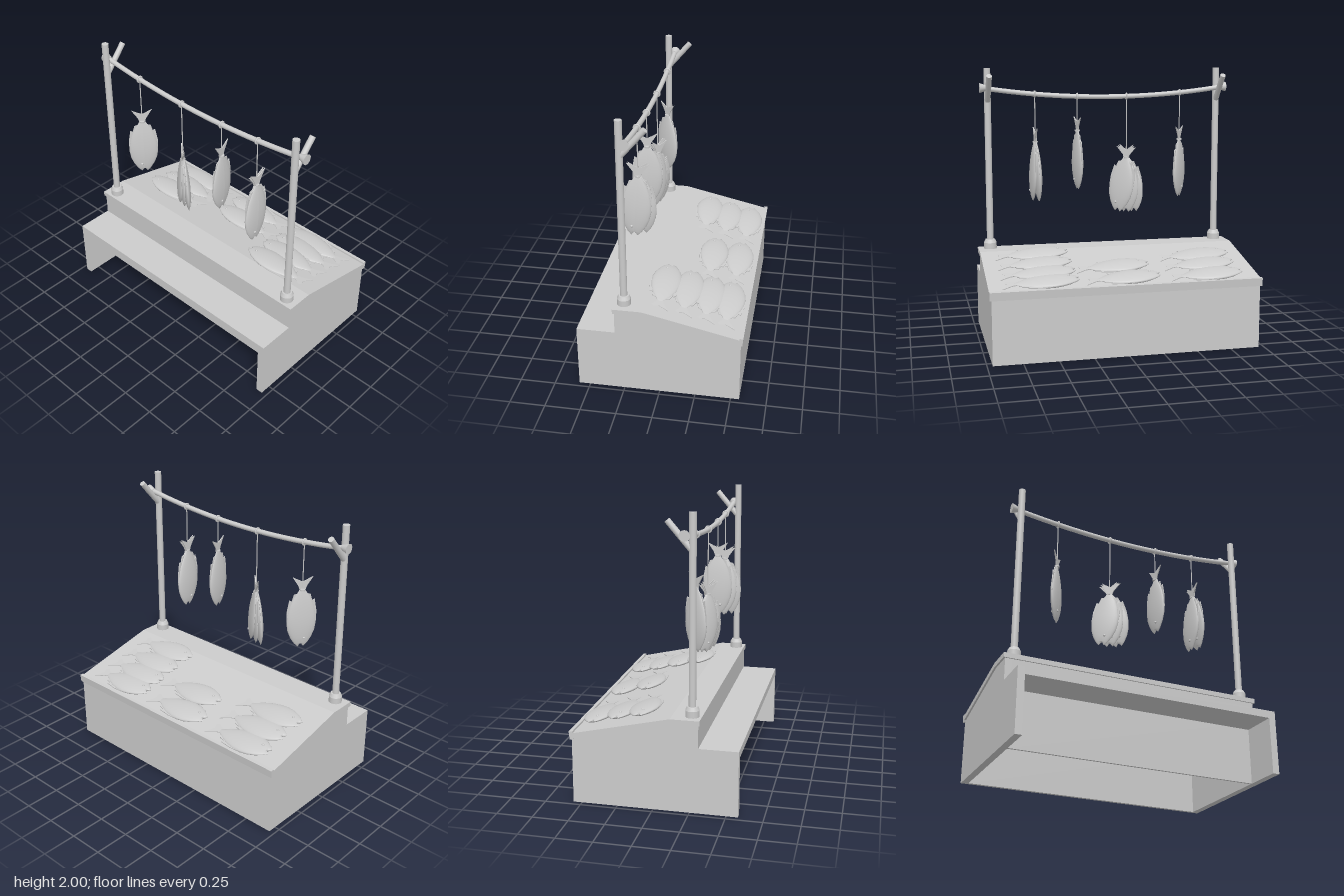
import * as THREE from 'three';

const mat = new THREE.MeshStandardMaterial({ color: 0xcccccc });

function add(parent, name, geo, x = 0, y = 0, z = 0) {
  const m = new THREE.Mesh(geo, mat);
  m.name = name;
  m.position.set(x, y, z);
  parent.add(m);
  return m;
}

// Box given by its limits on each axis
function box(parent, name, x0, x1, y0, y1, z0, z1) {
  return add(parent, name, new THREE.BoxGeometry(x1 - x0, y1 - y0, z1 - z0),
    (x0 + x1) / 2, (y0 + y1) / 2, (z0 + z1) / 2);
}

// Outline in x/y, extruded along z and centred on z = 0
function slab(points, depth) {
  const shape = new THREE.Shape(points.map(p => new THREE.Vector2(p[0], p[1])));
  return new THREE.ExtrudeGeometry(shape, { depth, bevelEnabled: false }).translate(0, 0, -depth / 2);
}

// Flat fish body: squashed lathe with a notch for the mouth (head at y = 0)
function bodyGeometry() {
  const profile = [[0, 0], [0.022, 0], [0.05, 0.03], [0.078, 0.075], [0.099, 0.13], [0.108, 0.19],
    [0.104, 0.25], [0.088, 0.32], [0.06, 0.385], [0.03, 0.43], [0.018, 0.455], [0, 0.46]];
  const geo = new THREE.LatheGeometry(profile.map(p => new THREE.Vector2(p[0], p[1])), 24);
  const pos = geo.attributes.position;
  for (let i = 0; i < pos.count; i++) {
    if (pos.getY(i) < 0.02) pos.setY(i, 0.032 * Math.max(0, 1 - Math.abs(pos.getX(i)) / 0.022));
  }
  geo.scale(1, 1, 0.26);
  geo.computeVertexNormals();
  return geo;
}

const fishBody = bodyGeometry();
const fishTail = slab([[-0.016, 0.43], [0.016, 0.43], [0.03, 0.475], [0.075, 0.545],
  [0.03, 0.522], [0, 0.508], [-0.03, 0.522], [-0.075, 0.545], [-0.03, 0.475]], 0.007);
const fishFin = slab([[0.08, 0.17], [0.108, 0.2], [0.108, 0.28], [0.092, 0.37], [0.075, 0.36],
  [0.06, 0.41], [0.02, 0.42]], 0.006);
const fishEye = new THREE.SphereGeometry(0.01, 10, 8);

function makeFish() {
  const g = new THREE.Group();
  g.name = 'fish';
  add(g, 'fishBody', fishBody);
  add(g, 'fishTail', fishTail);
  add(g, 'topFin', fishFin);
  add(g, 'bottomFin', fishFin).rotation.y = Math.PI;
  for (const s of [-1, 1]) add(g, 'fishEye', fishEye, -0.02, 0.075, s * 0.018);
  return g;
}

export function createModel() {
  const model = new THREE.Group();
  model.name = 'fishStall';

  // Hollow counter with a step along the back
  const side = [[-0.58, 0], [0.56, 0], [0.56, 0.475], [-0.12, 0.63], [-0.31, 0.63], [-0.31, 0.46], [-0.58, 0.46]];
  const sideGeo = slab(side, 0.05);
  for (const s of [-1, 1]) add(model, 'endWall', sideGeo, 0, 0, s * 0.937);
  box(model, 'frontWall', 0.535, 0.56, 0, 0.475, -0.92, 0.92);
  box(model, 'backWall', -0.31, -0.295, 0, 0.46, -0.92, 0.92);
  box(model, 'riser', -0.31, -0.285, 0.44, 0.63, -0.92, 0.92);
  box(model, 'stepTop', -0.58, -0.3, 0.405, 0.46, -0.92, 0.92);

  // Sloping display board with a front lip
  add(model, 'displayBoard', slab([[-0.32, 0.62], [-0.12, 0.62], [0.555, 0.465], [0.555, 0.503],
    [-0.12, 0.655], [-0.32, 0.655]], 1.95));
  const lip = box(model, 'frontLip', 0.547, 0.573, 0.457, 0.516, -0.975, 0.975);
  lip.rotation.z = -0.1;

  // Posts with collars and forked props
  const postGeo = new THREE.CylinderGeometry(0.025, 0.025, 1.385, 16);
  const collarGeo = new THREE.LatheGeometry([[0.048, 0], [0.048, 0.045], [0.048, 0.045], [0.036, 0.07],
    [0.036, 0.07], [0.02, 0.07]].map(p => new THREE.Vector2(p[0], p[1])), 16);
  const propGeo = new THREE.CylinderGeometry(0.021, 0.021, 0.25, 14);
  for (const z of [-0.885, 0.885]) {
    add(model, 'post', postGeo, -0.255, 1.3075, z);
    add(model, 'postCollar', collarGeo, -0.255, 0.655, z);
    add(model, 'forkProp', propGeo, -0.17, 1.85, z).rotation.z = -0.71;
  }

  // Sagging crossbar with flared ends
  const barX = -0.213;
  const barY = z => 1.785 + 0.07 * (z / 0.92) ** 2;
  const curve = new THREE.QuadraticBezierCurve3(new THREE.Vector3(barX, 1.855, 0.92),
    new THREE.Vector3(barX, 1.715, 0), new THREE.Vector3(barX, 1.855, -0.92));
  add(model, 'crossbar', new THREE.TubeGeometry(curve, 28, 0.018, 12));
  const flareGeo = new THREE.CylinderGeometry(0.037, 0.018, 0.055, 14).rotateX(Math.PI / 2);
  for (const s of [-1, 1]) {
    add(model, 'barEnd', flareGeo, barX, 1.856, s * 0.918).rotation.y = s > 0 ? 0 : Math.PI;
  }

  // Hanging fish: z, tie height, turn, scale, [swing, offset] of each fish
  const hanging = [
    [0.54, 1.455, 0.03, 1, [[-0.07, 0.022], [0.06, -0.022]]],
    [0.22, 1.535, 0.15, 1, [[0, 0]]],
    [-0.16, 1.32, 0.87, 0.94, [[-0.15, 0.035], [0, 0], [0.13, -0.035]]],
    [-0.58, 1.455, -0.66, 1, [[0, 0]]],
  ];
  const loopGeo = new THREE.TorusGeometry(0.021, 0.007, 8, 16);
  const tieGeo = new THREE.CylinderGeometry(0.02, 0.02, 0.012, 10);
  for (const [z, tieY, turn, scale, fishes] of hanging) {
    const top = barY(z);
    add(model, 'hangingLoop', loopGeo, barX, top, z);
    const len = top - 0.02 - tieY;
    add(model, 'string', new THREE.CylinderGeometry(0.004, 0.004, len, 6), barX, tieY + len / 2, z);
    const bundle = new THREE.Group();
    bundle.name = 'hangingFish';
    bundle.position.set(barX, tieY, z);
    bundle.rotation.y = turn;
    bundle.scale.setScalar(scale);
    add(bundle, 'stringTie', tieGeo);
    for (const [swing, offset] of fishes) {
      const pivot = new THREE.Group();
      pivot.rotation.set(-offset * 1.4, 0, swing);
      pivot.position.z = offset * 0.25;
      const fish = makeFish();
      fish.position.y = -0.445;
      pivot.add(fish);
      bundle.add(pivot);
    }
    model.add(bundle);
  }

  // Fish laid in overlapping rows on the board: x and z of each head
  const laid = [
    [-0.02, 0.335], [0.145, 0.335], [0.3, 0.335], [0.44, 0.335],
    [0.25, -0.215], [0.44, -0.25],
    [0.125, -0.865], [0.285, -0.855], [0.45, -0.86],
  ];
  for (const [x, z] of laid) {
    const tilt = new THREE.Group();
    tilt.name = 'laidFish';
    tilt.position.set(x, 0.655 - 0.225 * (x + 0.12) + 0.025, z);
    tilt.rotation.z = -0.17;
    const fish = makeFish();
    fish.rotation.x = Math.PI / 2 + 0.05;
    tilt.add(fish);
    model.add(tilt);
  }
  return model;
}
